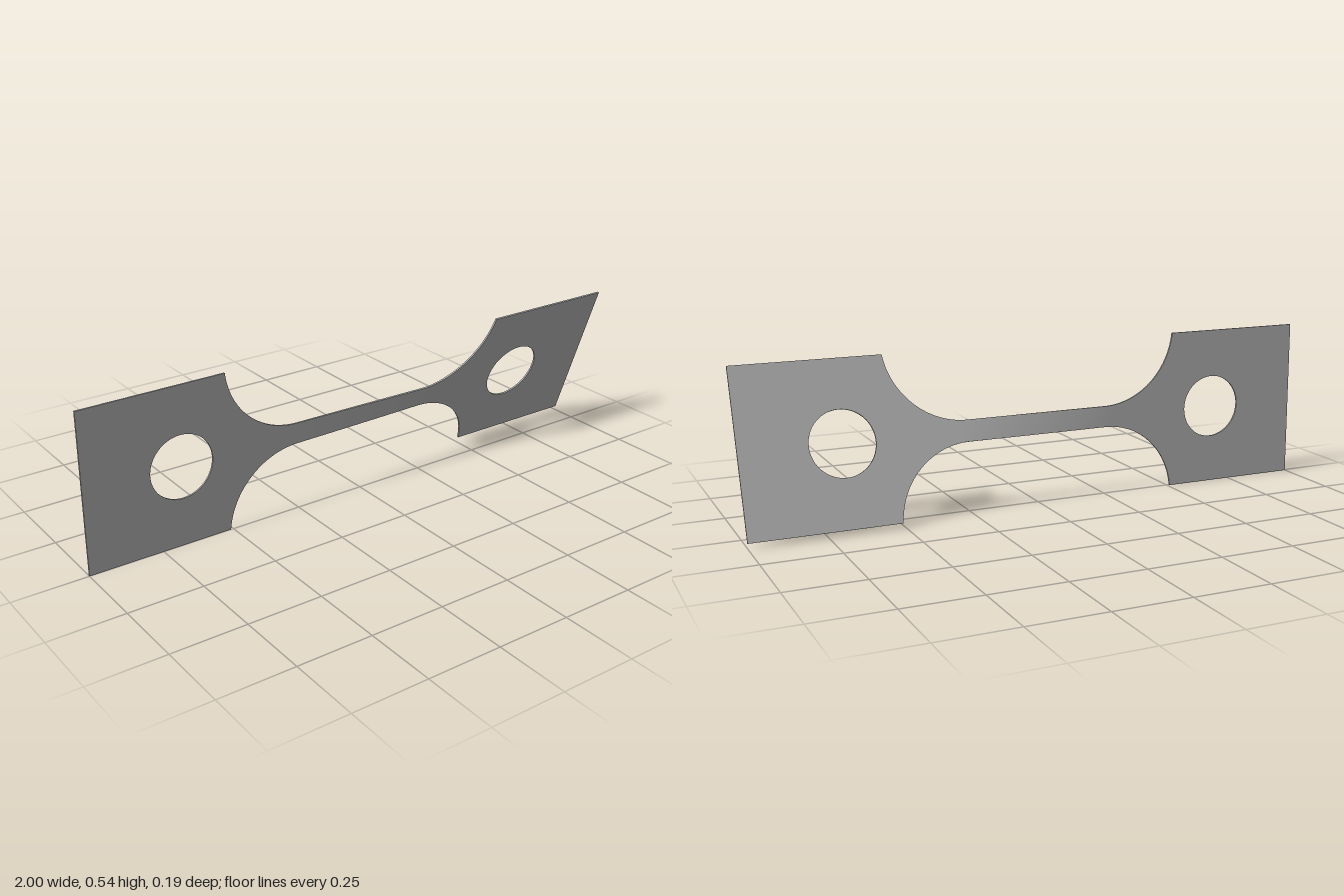
import * as THREE from 'three';

const HALF_H = 0.271;   // half height of the end plates
const NECK_H = 0.036;   // half height of the slim neck
const FILLET = 0.26;    // fillet radius
const NECK_X = 0.25;    // where the fillets begin
const PLATE_X = 0.509;  // where the plates begin
const THICK = 0.006;
const TWIST_X = 0.28;   // the twist happens between -TWIST_X and TWIST_X
const ANGLE_A = THREE.MathUtils.degToRad(0.6);
const ANGLE_B = THREE.MathUtils.degToRad(19.4);

// Half height of the outline between the plates
function halfHeight(x) {
  const d = Math.max(0, Math.abs(x) - NECK_X);
  return Math.min(HALF_H, NECK_H + FILLET - Math.sqrt(FILLET * FILLET - d * d));
}

// Rotate every vertex about the long axis by an angle that depends on x
function twist(geometry) {
  const p = geometry.attributes.position;
  for (let i = 0; i < p.count; i++) {
    const t = THREE.MathUtils.clamp((p.getX(i) + TWIST_X) / (2 * TWIST_X), 0, 1);
    const a = THREE.MathUtils.lerp(ANGLE_A, ANGLE_B, t);
    const y = p.getY(i), z = p.getZ(i);
    p.setY(i, y * Math.cos(a) - z * Math.sin(a) + HALF_H);
    p.setZ(i, y * Math.sin(a) + z * Math.cos(a));
  }
  geometry.computeVertexNormals();
  return geometry;
}

// Rectangular end plate with a round hole
function plateGeometry(side) {
  const x0 = side > 0 ? PLATE_X : -1;
  const x1 = side > 0 ? 1 : -PLATE_X;
  const shape = new THREE.Shape([
    new THREE.Vector2(x0, -HALF_H), new THREE.Vector2(x1, -HALF_H),
    new THREE.Vector2(x1, HALF_H), new THREE.Vector2(x0, HALF_H),
  ]);
  const hole = new THREE.Path();
  hole.absarc(side * 0.671, 0, 0.108, 0, Math.PI * 2, true);
  shape.holes.push(hole);
  const g = new THREE.ExtrudeGeometry(shape, { depth: THICK, bevelEnabled: false, curveSegments: 32 });
  g.translate(0, 0, -THICK / 2);
  return twist(g);
}

// Neck with its fillets, widened towards both plates
function neckGeometry() {
  const g = new THREE.BoxGeometry(2 * PLATE_X, 2, THICK, 120, 4, 1);
  const p = g.attributes.position;
  for (let i = 0; i < p.count; i++) {
    // sine spacing packs more sections into the steep fillet ends
    const x = PLATE_X * Math.sin((p.getX(i) / PLATE_X) * Math.PI / 2);
    p.setX(i, x);
    p.setY(i, p.getY(i) * halfHeight(x));
  }
  return twist(g);
}

export function createModel() {
  const group = new THREE.Group();
  group.name = 'twistedSpecimen';
  const metal = new THREE.MeshStandardMaterial({ color: 0xb2b2b2 });
  metal.name = 'grey metal';

  const add = (name, geometry) => {
    const mesh = new THREE.Mesh(geometry, metal);
    mesh.name = name;
    group.add(mesh);
  };
  add('rightPlate', plateGeometry(-1));
  add('leftPlate', plateGeometry(1));
  add('twistedNeck', neckGeometry());
  return group;
}
